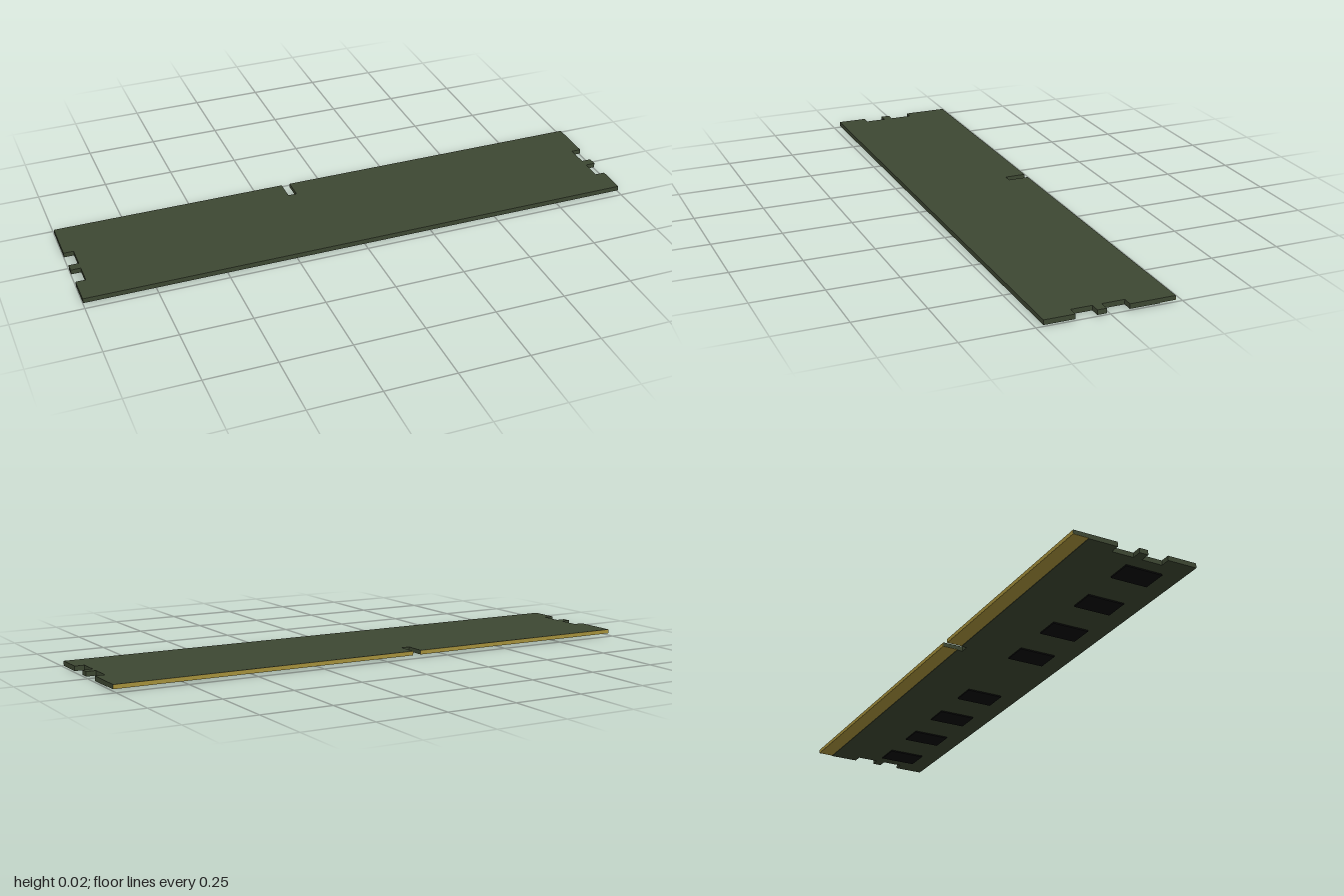
import * as THREE from 'three';

const BACK = -0.225, FRONT = 0.225, STEP = -0.17; // z of the edges and of the contact strip
const KEY = [-0.153, -0.122], KEY_END = -0.15;    // key slot
const BOTTOM = 0.005, STRIP = 0.0075, TOP = 0.022;

const green = new THREE.MeshStandardMaterial({ color: 0x3d4732 });
const gold = new THREE.MeshStandardMaterial({ color: 0xa8933c });
const black = new THREE.MeshStandardMaterial({ color: 0x0a0a0a });

// Board outline with side notches and key slot, as [x, z] corners
function layer(back, y0, y1) {
  const side = [
    [1, FRONT], [1, 0.119], [0.965, 0.119], [0.965, 0.045], [1, 0.045],
    [1, 0.013], [0.965, 0.013], [0.965, -0.066], [1, -0.066], [1, back],
  ];
  const slot = [[KEY[1], back], [KEY[1], KEY_END], [KEY[0], KEY_END], [KEY[0], back]];
  const left = side.map(([x, z]) => [-x, z]).reverse();
  const shape = new THREE.Shape([...side, ...slot, ...left].map(([x, z]) => new THREE.Vector2(x, -z)));
  const g = new THREE.ExtrudeGeometry(shape, { depth: y1 - y0, bevelEnabled: false });
  return g.rotateX(-Math.PI / 2).translate(0, y0, 0);
}

// Box given by its extents
function box(name, material, [x0, x1], [y0, y1], [z0, z1]) {
  const mesh = new THREE.Mesh(new THREE.BoxGeometry(x1 - x0, y1 - y0, z1 - z0), material);
  mesh.position.set((x0 + x1) / 2, (y0 + y1) / 2, (z0 + z1) / 2);
  mesh.name = name;
  return mesh;
}

export function createModel() {
  const model = new THREE.Group();
  model.name = 'memoryModule';

  // Circuit board: thinner along the contact strip
  const board = new THREE.Group();
  board.name = 'circuitBoard';
  const upper = new THREE.Mesh(layer(BACK, STRIP, TOP), green);
  upper.name = 'boardUpperLayer';
  const lower = new THREE.Mesh(layer(STEP, BOTTOM, STRIP), green);
  lower.name = 'boardLowerLayer';
  board.add(upper, lower);
  model.add(board);

  // Gold plating under the strip and over its back edge, on both sides of the slot
  const contacts = new THREE.Group();
  contacts.name = 'goldContacts';
  for (const span of [[-1, KEY[0]], [KEY[1], 1]]) {
    contacts.add(
      box('contactStrip', gold, span, [STRIP - 0.0005, STRIP], [BACK, STEP]),
      box('contactEdge', gold, span, [STRIP, TOP - 0.0005], [BACK - 0.0005, BACK]),
    );
  }
  model.add(contacts);

  // Memory chips on the underside, mirrored about the middle
  const chips = new THREE.Group();
  chips.name = 'memoryChips';
  for (const s of [-1, 1]) {
    for (let i = 0; i < 4; i++) {
      const x = s * (0.197 + i * 0.225);
      chips.add(box('memoryChip', black, [x - 0.045, x + 0.045], [0, BOTTOM], [0.017, 0.152]));
    }
  }
  model.add(chips);
  return model;
}
